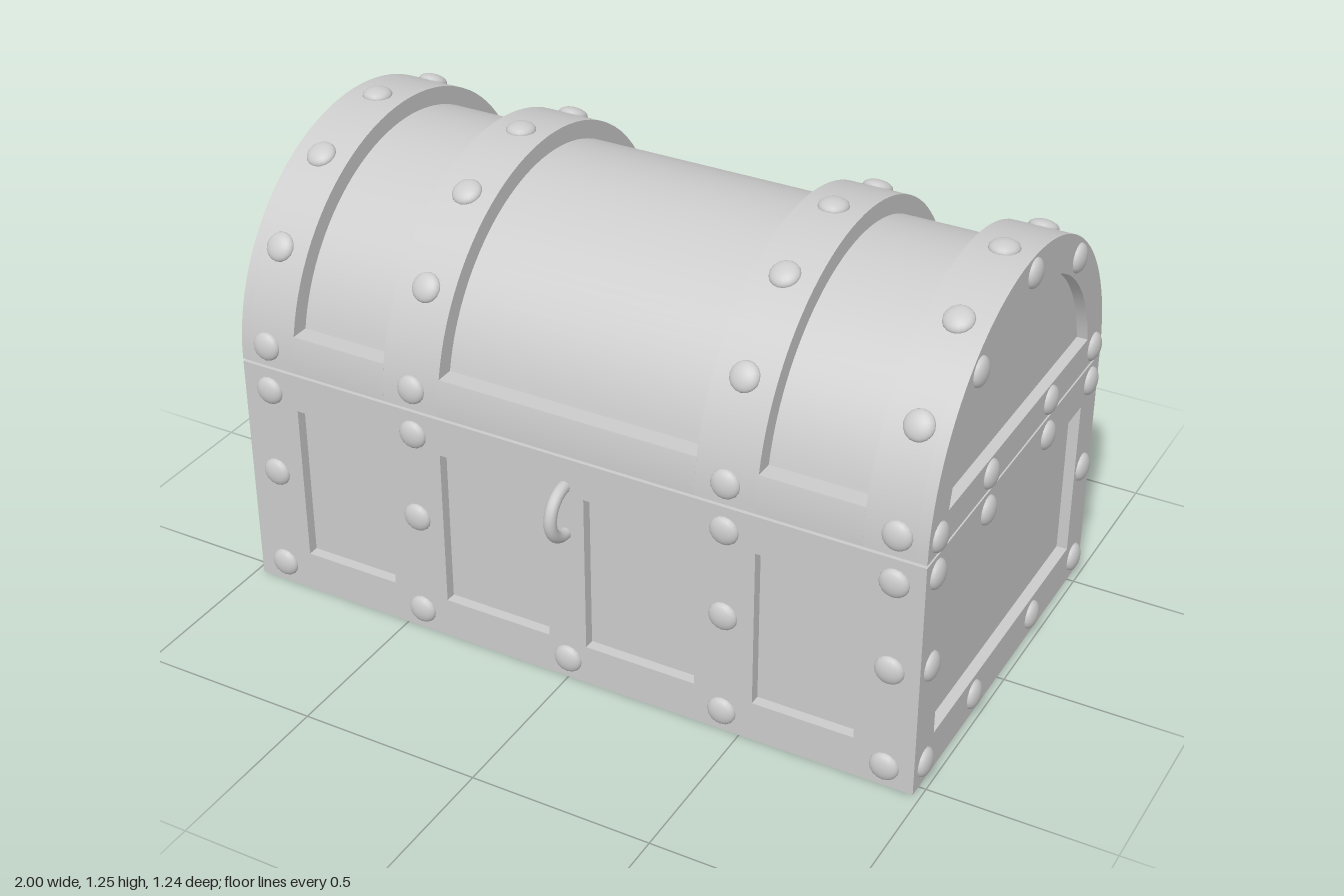
import * as THREE from 'three';
import { toCreasedNormals } from 'three/addons/utils/BufferGeometryUtils.js';

const mat = new THREE.MeshStandardMaterial({ color: 0xcccccc });
const ZC = -0.027;            // middle of the chest in depth
const HX = 0.98, HZ = 0.5625; // half width and half depth
const BODY_H = 0.677, LID_Y = 0.685;
const R = 0.55, STRETCH = HZ / R; // lid arch
const INSET = 0.03;           // depth of the flat panels

function add(parent, name, geo, x = 0, y = 0, z = 0) {
  const m = new THREE.Mesh(geo, mat);
  m.name = name;
  m.position.set(x, y, z);
  parent.add(m);
  return m;
}

const extrude = (shape, depth, curveSegments = 24) =>
  toCreasedNormals(new THREE.ExtrudeGeometry(shape, { depth, bevelEnabled: false, curveSegments }), 0.5);

function rect(PathType, x0, x1, y0, y1) {
  const p = new PathType();
  p.moveTo(x0, y0);
  p.lineTo(x1, y0);
  p.lineTo(x1, y1);
  p.lineTo(x0, y1);
  p.closePath();
  return p;
}

// Upright frame plate with rectangular openings
function framePlate(halfWidth, openings) {
  const s = rect(THREE.Shape, -halfWidth, halfWidth, 0, BODY_H);
  for (const [a, b] of openings) s.holes.push(rect(THREE.Path, a, b, 0.115, 0.57));
  return extrude(s, INSET);
}

// Part of a half disc above the height y0
function archSegment(PathType, r, y0) {
  const a = Math.asin(y0 / r);
  const p = new PathType();
  p.absarc(0, 0, r, a, Math.PI - a, false);
  p.closePath();
  return p;
}

// Half disc whose rim is recessed above a bottom rail
function steppedArch(r, y0) {
  const a = Math.asin(y0 / R), b = Math.asin(y0 / r);
  const s = new THREE.Shape();
  s.absarc(0, 0, R, 0, a, false);
  s.absarc(0, 0, r, b, Math.PI - b, false);
  s.absarc(0, 0, R, Math.PI - a, Math.PI, false);
  s.closePath();
  return s;
}

const rivetGeo = new THREE.SphereGeometry(0.04, 16, 6, 0, Math.PI * 2, 0, Math.PI / 2);
rivetGeo.scale(1, 0.5, 1);
function rivet(parent, x, y, z, normal) {
  const m = add(parent, 'rivet', rivetGeo, x, y, z);
  m.quaternion.setFromUnitVectors(new THREE.Vector3(0, 1, 0), normal.normalize());
}

function buildBody() {
  const body = new THREE.Group();
  body.name = 'body';
  add(body, 'bodyCore', new THREE.BoxGeometry(2 * (HX - INSET), BODY_H, 2 * (HZ - INSET)), 0, BODY_H / 2, 0);
  const longFrame = framePlate(HX, [[-0.815, -0.535], [-0.37, -0.055], [0.055, 0.37], [0.535, 0.815]]);
  const endFrame = framePlate(HZ - INSET, [[-0.45, 0.45]]);
  for (const s of [1, -1]) {
    add(body, 'longFrame', longFrame, 0, 0, s * (HZ - INSET)).rotation.y = s > 0 ? 0 : Math.PI;
    add(body, 'endFrame', endFrame, s * (HX - INSET), 0, 0).rotation.y = s * Math.PI / 2;
    // rivets on the long sides
    for (const x of [-0.9, -0.45, 0.45, 0.9])
      for (const y of [0.06, 0.355, 0.61]) rivet(body, x, y, s * HZ, new THREE.Vector3(0, 0, s));
    rivet(body, 0, 0.06, s * HZ, new THREE.Vector3(0, 0, s));
    // rivets on the ends
    for (const z of [-0.5, -0.195, 0.195, 0.5])
      for (const y of [0.06, 0.355, 0.625])
        if (y !== 0.355 || Math.abs(z) > 0.4) rivet(body, s * HX, y, z, new THREE.Vector3(s, 0, 0));
  }
  return body;
}

function buildLid() {
  const lid = new THREE.Group();
  lid.name = 'lid';
  lid.position.y = LID_Y;
  const full = archSegment(THREE.Shape, R, 0);
  const stepped = steppedArch(R - 0.05, 0.105);
  const endFrame = archSegment(THREE.Shape, R, 0);
  endFrame.holes.push(archSegment(THREE.Path, 0.45, 0.09));

  // slices from one end to the other
  const slices = [
    ['lidEndFrame', endFrame, -HX, -0.95], ['lidEndBand', full, -0.95, -0.815],
    ['lidPanel', stepped, -0.815, -0.535], ['lidBand', full, -0.535, -0.368],
    ['lidPanel', stepped, -0.368, 0.368], ['lidBand', full, 0.368, 0.535],
    ['lidPanel', stepped, 0.535, 0.815], ['lidEndBand', full, 0.815, 0.95],
    ['lidEndFrame', endFrame, 0.95, HX],
  ];
  for (const [name, shape, x0, x1] of slices) {
    const g = extrude(shape, x1 - x0);
    g.scale(STRETCH, 1, 1);
    g.rotateY(Math.PI / 2);
    add(lid, name, g, x0, 0, 0);
  }

  // rivets over the bands
  for (const x of [-0.9, -0.45, 0.45, 0.9])
    for (const deg of [6, 34, 62, 90, 118, 146, 174]) {
      const a = THREE.MathUtils.degToRad(deg), c = Math.cos(a), s = Math.sin(a);
      rivet(lid, x, R * s, R * STRETCH * c, new THREE.Vector3(0, s, c));
    }
  // rivets on the ends
  for (const s of [1, -1])
    for (const [z, y] of [[-0.5, 0.045], [-0.195, 0.045], [0.195, 0.045], [0.5, 0.045],
      [-0.315, 0.395], [0, 0.503], [0.315, 0.395]])
      rivet(lid, s * HX, y, z, new THREE.Vector3(s, 0, 0));
  return lid;
}

function buildFittings() {
  const fittings = new THREE.Group();
  fittings.name = 'fittings';

  // half ring on the front
  const ring = add(fittings, 'lockRing', new THREE.TorusGeometry(0.07, 0.017, 12, 32), 0, 0.523, HZ);
  ring.rotation.y = Math.PI / 2;

  // slotted clasp on the back
  const plate = new THREE.Shape();
  plate.moveTo(0.075, 0.73);
  plate.lineTo(-0.075, 0.73);
  plate.lineTo(-0.075, 0.405);
  plate.absarc(0, 0.405, 0.075, Math.PI, Math.PI * 2, false);
  plate.closePath();
  const slot = new THREE.Path();
  slot.absarc(0, 0.585, 0.027, 0, Math.PI, false);
  slot.absarc(0, 0.43, 0.027, Math.PI, Math.PI * 2, false);
  slot.closePath();
  plate.holes.push(slot);
  add(fittings, 'claspPlate', extrude(plate, 0.017, 12), 0, 0, -HZ - 0.017);
  add(fittings, 'claspHead', new THREE.BoxGeometry(0.18, 0.05, 0.035), 0, 0.72, -HZ - 0.006);

  // hinge leaves on the back
  for (const s of [1, -1]) {
    add(fittings, 'hingeUpperLeaf', new THREE.BoxGeometry(0.19, 0.04, 0.025), s * 0.685, 0.7, -HZ - 0.002);
    add(fittings, 'hingeLowerLeaf', new THREE.BoxGeometry(0.15, 0.04, 0.02), s * 0.685, 0.66, -HZ);
  }
  return fittings;
}

export function createModel() {
  const chest = new THREE.Group();
  chest.name = 'chest';
  const parts = new THREE.Group();
  parts.name = 'chestParts';
  parts.position.z = ZC;
  parts.add(buildBody(), buildLid(), buildFittings());
  chest.add(parts);
  return chest;
}
